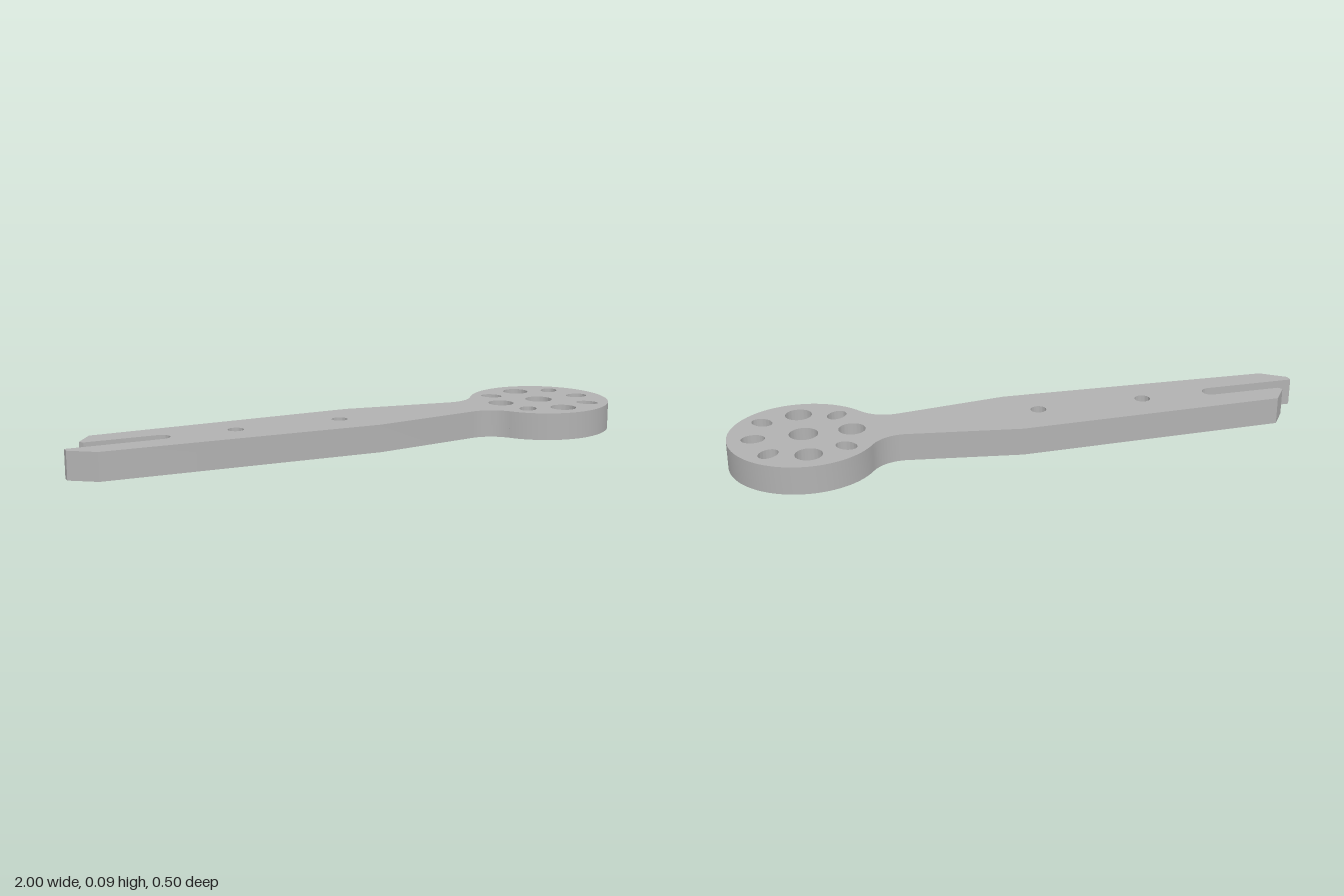
import * as THREE from 'three';
import { toCreasedNormals } from 'three/addons/utils/BufferGeometryUtils.js';

const THICKNESS = 0.095;
const HEAD_X = 0.75;
const rad = THREE.MathUtils.degToRad;

// Outline of the flat bar: forked tail, tapered arm, filleted neck, round head
function makeOutline() {
  const s = new THREE.Shape();
  s.moveTo(-1, -0.03);
  s.lineTo(-1, -0.055);
  s.lineTo(-0.915, -0.113);
  s.lineTo(0.04, -0.138);
  s.absarc(0.44, -0.209, 0.124, rad(98), rad(34), true);
  s.absarc(HEAD_X, 0, 0.25, rad(-146), rad(146), false);
  s.absarc(0.44, 0.209, 0.124, rad(-34), rad(-98), true);
  s.lineTo(0.04, 0.142);
  s.lineTo(-0.885, 0.117);
  s.lineTo(-0.935, 0.045);
  s.lineTo(-0.925, 0.03);
  // open slot in the tail
  s.absarc(-0.68, 0, 0.03, rad(90), rad(-90), true);
  s.closePath();
  return s;
}

function addHole(shape, x, y, rx, ry = rx, turn = 0) {
  const hole = new THREE.Path();
  hole.absellipse(x, y, rx, ry, 0, Math.PI * 2, true, turn);
  shape.holes.push(hole);
}

export function createModel() {
  const grey = new THREE.MeshStandardMaterial({ color: 0xb2b2b2 });
  grey.name = 'plain grey';

  const shape = makeOutline();

  // arm holes
  for (const x of [-0.425, -0.05]) addHole(shape, x, 0, 0.027);

  // round head holes
  addHole(shape, HEAD_X, 0, 0.048);
  addHole(shape, 0.59, 0, 0.045);
  for (const side of [-1, 1]) addHole(shape, HEAD_X, side * 0.16, 0.045);

  // slightly oval head holes, long axis pointing at the hub
  addHole(shape, 0.914, 0, 0.039, 0.032);
  for (const deg of [45, 135, 225, 315]) {
    const a = rad(deg);
    addHole(shape, HEAD_X + Math.cos(a) * 0.177, Math.sin(a) * 0.177, 0.038, 0.029, a);
  }

  const geometry = new THREE.ExtrudeGeometry(shape, {
    depth: THICKNESS, bevelEnabled: false, curveSegments: 40,
  });
  geometry.rotateX(-Math.PI / 2);

  const bar = new THREE.Mesh(toCreasedNormals(geometry, rad(25)), grey);
  bar.name = 'perforatedArm';

  const model = new THREE.Group();
  model.name = 'forkedArm';
  model.add(bar);
  return model;
}
